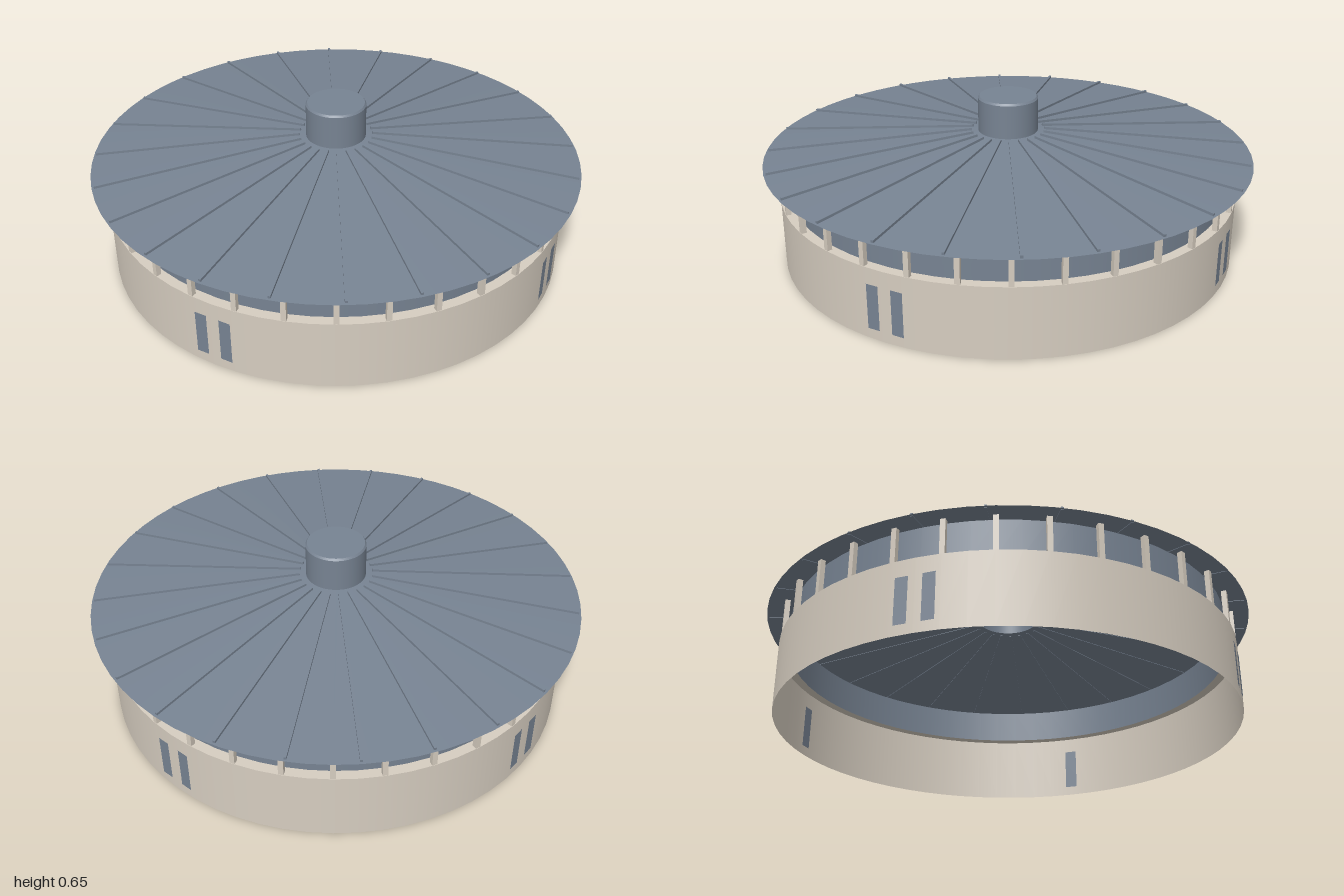
import * as THREE from 'three';

const SIDES = 64;

export function createModel() {
  const model = new THREE.Group();
  model.name = 'roundhouse';

  const stone = new THREE.MeshStandardMaterial({ color: 0xd6cdc0, side: THREE.DoubleSide });
  stone.name = 'pale stone';
  const slate = new THREE.MeshStandardMaterial({ color: 0x778392, side: THREE.DoubleSide });
  slate.name = 'slate blue';

  const add = (name, geometry, material, parent = model) => {
    const mesh = new THREE.Mesh(geometry, material);
    mesh.name = name;
    parent.add(mesh);
    return mesh;
  };
  // Open tube or cone section between two heights
  const shell = (rTop, rBottom, y0, y1) =>
    new THREE.CylinderGeometry(rTop, rBottom, y1 - y0, SIDES, 1, true).translate(0, (y0 + y1) / 2, 0);
  // Turn a geometry about the vertical axis, count times
  const around = (name, count, offset, material, makeGeometry) => {
    const group = new THREE.Group();
    group.name = name + 's';
    const geometry = makeGeometry();
    for (let i = 0; i < count; i++) {
      add(name, geometry, material, group).rotation.y = ((i + offset) / count) * Math.PI * 2;
    }
    model.add(group);
  };

  // Outer wall, open below, with a ledge on top
  add('wall', shell(0.94, 0.94, 0, 0.285), stone);
  add('ledge', new THREE.RingGeometry(0.9, 0.94, SIDES).rotateX(-Math.PI / 2).translate(0, 0.285, 0), stone);

  // Recessed band of glazing and the posts in front of it
  add('windowBand', shell(0.9, 0.9, 0.285, 0.428), slate);
  around('post', 32, 0.5, stone, () => new THREE.BoxGeometry(0.02, 0.14, 0.02).translate(0, 0.355, 0.928));

  // Flat panes that cut the curved wall: their edges show outside, the middle inside
  around('wallWindow', 4, 0, slate, () => new THREE.PlaneGeometry(0.15, 0.18).translate(0, 0.13, 0.9387));

  // Shallow conical roof, open at the centre
  const rEdge = 1, rHole = 0.123, yEdge = 0.42, yHole = 0.503;
  add('roof', shell(rHole, rEdge, yEdge, yHole), slate);

  // Raised seams running down the roof
  const slope = Math.atan2(yHole - yEdge, rEdge - rHole);
  const rMid = 0.57;
  const yMid = yEdge + (rEdge - rMid) * Math.tan(slope);
  around('roofSeam', 24, 0, slate, () =>
    new THREE.BoxGeometry(0.01, 0.012, 0.845).rotateX(slope).translate(0, yMid + 0.004, rMid));

  // Central vent with a bevelled top
  add('vent', shell(0.123, 0.123, 0.5, 0.642), slate);
  add('ventBevel', shell(0.117, 0.123, 0.642, 0.65), slate);
  add('ventTop', new THREE.CircleGeometry(0.117, SIDES).rotateX(-Math.PI / 2).translate(0, 0.65, 0), slate);

  return model;
}
